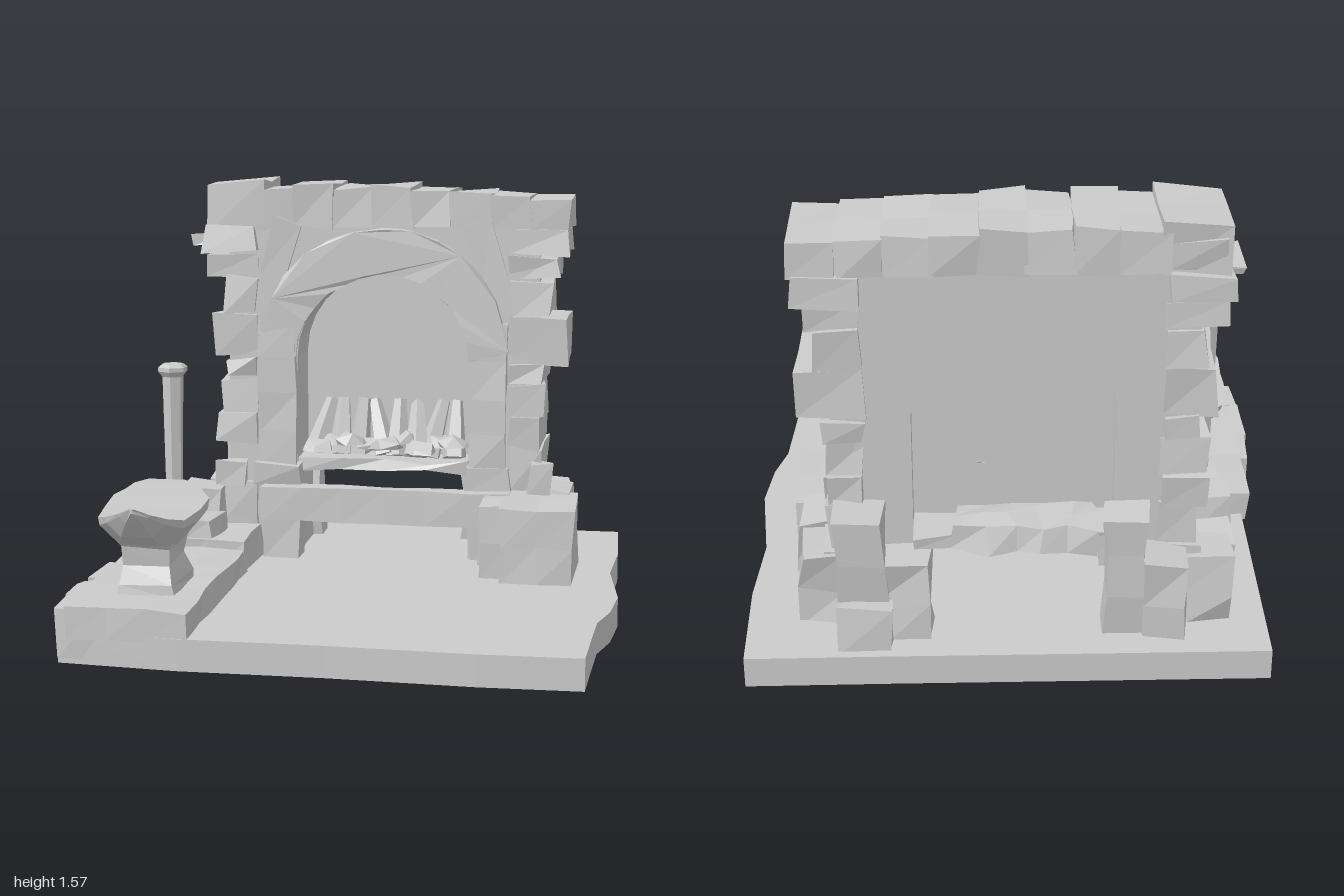
import * as THREE from 'three';

const mat = new THREE.MeshStandardMaterial({ color: 0xcccccc, flatShading: true, side: THREE.DoubleSide });

// Repeatable noise in -1..1 from a position, so shared corners move together
function noise(x, y, z, k) {
  const s = Math.sin(Math.round(x * 500) * 12.99 + Math.round(y * 500) * 78.23 + Math.round(z * 500) * 37.72 + k * 51.3) * 43758.5453;
  return (s - Math.floor(s)) * 2 - 1;
}

function roughen(geo, amount) {
  const p = geo.attributes.position;
  for (let i = 0; i < p.count; i++) {
    const [x, y, z] = [p.getX(i), p.getY(i), p.getZ(i)];
    p.setXYZ(i, x + noise(x, y, z, 1) * amount, Math.max(0, y + noise(x, y, z, 2) * amount), z + noise(x, y, z, 3) * amount);
  }
  geo.computeVertexNormals();
  return geo;
}

export function createModel() {
  const root = new THREE.Group();
  const add = (name, geo, parent = root) => {
    const m = new THREE.Mesh(geo, mat);
    m.name = name;
    parent.add(m);
    return m;
  };
  const group = (name) => {
    const g = new THREE.Group();
    g.name = name;
    root.add(g);
    return g;
  };
  // Rough-hewn block given by its extents
  const rock = (name, [x0, x1], [y0, y1], [z0, z1], rough = 0.012, parent = root, step = 0.16) => {
    const n = (a, b) => Math.max(1, Math.round((b - a) / step));
    const geo = new THREE.BoxGeometry(x1 - x0, y1 - y0, z1 - z0, n(x0, x1), n(y0, y1), n(z0, z1));
    geo.translate((x0 + x1) / 2, (y0 + y1) / 2, (z0 + z1) / 2);
    return add(name, roughen(geo, rough), parent);
  };

  // Ground slab: flat faces, ragged outline
  const outline = [[-0.86, -0.98], [0.4, -0.985], [0.9, -0.99], [0.91, -0.6], [0.89, -0.3], [0.93, 0.05], [0.91, 0.25],
    [0.87, 0.4], [0.86, 0.6], [0.85, 0.82], [0.5, 0.83], [0, 0.815], [-0.5, 0.82], [-0.92, 0.79], [-0.9, 0.4], [-0.87, 0]];
  const slab = new THREE.ExtrudeGeometry(new THREE.Shape(outline.map(([x, z]) => new THREE.Vector2(x, -z))),
    { depth: 0.11, bevelEnabled: false });
  slab.rotateX(-Math.PI / 2);
  add('groundSlab', slab);

  // Raised terrace on the model's right, with edge stones
  const terrace = group('terrace');
  rock('terraceStep', [-0.89, -0.47], [0.09, 0.2], [-0.1, 0.81], 0.008, terrace);
  rock('terraceBack', [-0.76, -0.47], [0.09, 0.23], [-0.4, -0.08], 0.01, terrace);
  [[-0.93, 0.62, 0.8], [-0.95, 0.38, 0.62], [-0.93, 0.18, 0.38], [-0.89, 0.0, 0.17]].forEach(([x, z0, z1]) =>
    rock('terraceEdgeStone', [x, x + 0.15], [0.02, 0.19], [z0, z1], 0.012, terrace));
  rock('terraceStone', [-0.77, -0.6], [0.2, 0.3], [-0.32, -0.1], 0.015, terrace);
  rock('terraceStone', [-0.77, -0.62], [0.2, 0.38], [-0.45, -0.3], 0.015, terrace);

  // Hearth bench: beam on short legs and a corner block
  const bench = group('hearthBench');
  rock('benchBeam', [-0.46, 0.5], [0.26, 0.39], [-0.41, -0.33], 0.004, bench);
  rock('benchLeg', [-0.46, -0.31], [0.1, 0.28], [-0.45, -0.335], 0.008, bench);
  rock('benchLeg', [0.38, 0.5], [0.1, 0.28], [-0.45, -0.335], 0.008, bench);
  rock('cornerBlock', [0.49, 0.76], [0.1, 0.39], [-0.45, -0.08], 0.006, bench);
  rock('cornerStep', [0.41, 0.51], [0.1, 0.385], [-0.4, -0.14], 0.006, bench);

  // Arched opening outline, from spring to spring
  const arch = (rx, ry, spring, n = 14) => Array.from({ length: n + 1 }, (_, i) => {
    const a = Math.PI * i / n;
    return [rx * Math.cos(a), spring + ry * Math.sin(a)];
  });
  const vec = (pts) => pts.map(([x, y]) => new THREE.Vector2(x, y));
  const extrude = (pts, depth, z) => new THREE.ExtrudeGeometry(new THREE.Shape(vec(pts)),
    { depth, bevelEnabled: false }).translate(0, 0, z);

  // Chimney wall with the open arch cut through
  const wall = group('chimneyWall');
  const opening = arch(0.335, 0.32, 0.89);
  const core = [[0.335, 0.1], ...opening, [-0.335, 0.1], [-0.61, 0.1], [-0.6, 1.45], [-0.3, 1.51], [0.1, 1.5], [0.6, 1.46], [0.6, 0.1]];
  add('wallCore', extrude(core, 0.31, -0.745), wall);
  add('archRing', roughen(extrude([[0.335, 0.89], ...opening, ...arch(0.48, 0.47, 0.92).reverse()], 0.07, -0.47), 0.008), wall);
  add('fireback', extrude([[0.335, 0.47], ...opening, [-0.335, 0.47]], 0.03, -0.68), wall);

  // Pilasters beside the opening
  [-1, 1].forEach((s) => {
    const x = s < 0 ? [-0.48, -0.34] : [0.345, 0.48];
    rock('pilaster', x, [0.46, 1.03], [-0.5, -0.4], 0.007, wall);
    rock('pilasterFoot', [x[0] - 0.02, x[1] + 0.02], [0.38, 0.47], [-0.5, -0.385], 0.012, wall);
    rock('pilasterBase', x, [0.1, 0.4], [-0.5, -0.41], 0.008, wall);
  });

  // Stacked side stones: [bottom, top, reach on -x side, reach on +x side]
  [[0.1, 0.39, 0.63, 0.64], [0.39, 0.55, 0.61, 0.62], [0.55, 0.67, 0.65, 0.61], [0.67, 0.8, 0.64, 0.62],
    [0.8, 0.88, 0.61, 0.62], [0.88, 1.06, 0.66, 0.71], [1.06, 1.2, 0.62, 0.65], [1.2, 1.29, 0.69, 0.67],
    [1.29, 1.39, 0.7, 0.71], [1.39, 1.5, 0.67, 0.69]].forEach(([y0, y1, l, r], i) => {
    const front = i === 8 ? -0.405 : -0.415 - (i % 2) * 0.015;
    const back = i === 8 ? -0.785 : -0.765 + (i % 2) * 0.012;
    rock('sideStone', [-l, -0.49], [y0 + 0.003, y1 - 0.003], [back, front], 0.012, wall);
    rock('sideStone', [0.49, r], [y0 + 0.003, y1 - 0.003], [back, front], 0.012, wall);
  });
  rock('shelfStone', [-0.75, -0.6], [1.32, 1.355], [-0.62, -0.43], 0.008, wall);
  rock('topStone', [-0.69, -0.46], [1.38, 1.56], [-0.76, -0.43], 0.014, wall);

  // Mantel: a row of cap stones sloping down to one side
  const tops = [1.535, 1.55, 1.54, 1.55, 1.535, 1.525, 1.515, 1.51];
  tops.forEach((top, i) => {
    const x = -0.49 + i * 0.15;
    rock('capStone', [x, x + 0.152], [1.39, top], [-0.77, -0.42], 0.009, wall);
  });
  // Shoulder stones bending from the mantel toward the arch
  [-1, 1].forEach((s) => {
    const stone = rock('shoulderStone', [-0.055, 0.055], [-0.01, 0.22], [-0.5, -0.405], 0.01, wall);
    stone.position.set(s * 0.43, 1.2, 0);
    stone.rotation.z = s * 0.3;
  });

  // Fire bed: floating grate with coals and split logs
  const fire = group('fire');
  rock('grate', [-0.34, 0.34], [0.445, 0.485], [-0.84, -0.44], 0.012, fire);
  for (let i = 0; i < 9; i++) {
    const coal = add('coal', roughen(new THREE.IcosahedronGeometry(0.07, 0), 0.012), fire);
    coal.position.set(-0.27 + i * 0.068, 0.51 + (i % 3) * 0.015, -0.5 - (i % 2) * 0.07);
    coal.scale.y = 0.75;
    coal.rotation.y = i;
  }
  for (let i = 0; i < 8; i++) {
    const log = add('log', new THREE.CylinderGeometry(0.025, 0.05, 0.23, 5), fire);
    log.position.set(-0.26 + i * 0.075, 0.59, -0.6);
    log.rotation.set(-0.35, i, ((i % 3) - 1) * 0.25);
  }
  rock('backCoals', [-0.28, 0.2], [0.44, 0.53], [-0.87, -0.7], 0.02, fire, 0.1);

  // Boulders behind the wall and at its foot
  const boulders = group('boulders');
  [[-0.58, -0.43, 0.4, -0.9, -0.75], [-0.44, -0.3, 0.57, -0.88, -0.75], [0.28, 0.46, 0.4, -0.88, -0.75],
    [0.43, 0.59, 0.57, -0.9, -0.75], [0.4, 0.58, 0.26, -0.95, -0.8], [-0.74, -0.58, 0.36, -0.8, -0.62],
    [-0.76, -0.6, 0.3, -0.62, -0.42], [0.58, 0.72, 0.37, -0.78, -0.6], [0.58, 0.74, 0.4, -0.6, -0.4]].forEach(([x0, x1, y1, z0, z1]) =>
    rock('boulder', [x0, x1], [0.09, y1], [z0, z1], 0.018, boulders));
  rock('footStone', [0.57, 0.66], [0.38, 0.5], [-0.46, -0.37], 0.015, boulders);
  rock('footStone', [-0.64, -0.53], [0.38, 0.48], [-0.46, -0.38], 0.015, boulders);

  // Post with a faceted cap
  const post = group('post');
  add('postShaft', new THREE.CylinderGeometry(0.04, 0.028, 0.69, 6).translate(0, 0.54, 0), post);
  add('postCap', new THREE.LatheGeometry(vec([[0, 0.86], [0.04, 0.865], [0.056, 0.885], [0.056, 0.9], [0.04, 0.912], [0, 0.912]]), 6), post);
  post.position.set(-0.72, 0, -0.01);

  // Anvil: hull lofted along z from [z, left x, right x, top y, bottom y]
  const anvil = group('anvil');
  const ribs = [[0.01, -0.74, -0.7, 0.48, 0.44], [0.06, -0.8, -0.66, 0.49, 0.435], [0.16, -0.825, -0.585, 0.495, 0.42],
    [0.3, -0.82, -0.53, 0.5, 0.385], [0.42, -0.825, -0.48, 0.505, 0.375], [0.6, -0.8, -0.465, 0.505, 0.38],
    [0.8, -0.765, -0.47, 0.51, 0.42], [0.9, -0.71, -0.5, 0.535, 0.47], [0.96, -0.65, -0.54, 0.56, 0.53], [0.995, -0.6, -0.585, 0.585, 0.57]];
  const pos = [], idx = [];
  ribs.forEach(([z, l, r, t, b]) => {
    const m = (l + r) / 2, h = (r - l) * 0.25, e = t - (t - b) * 0.3;
    pos.push(l, t, z, l + 0.005, e, z, m - h, b, z, m + h, b, z, r - 0.005, e, z, r, t, z);
  });
  for (let i = 0; i < ribs.length - 1; i++) {
    for (let j = 0; j < 6; j++) {
      const a = i * 6 + j, b = i * 6 + (j + 1) % 6;
      idx.push(a, b, a + 6, b, b + 6, a + 6);
    }
  }
  const end = pos.length / 3 - 6;
  for (let j = 1; j < 5; j++) idx.push(0, j + 1, j, end, end + j, end + j + 1);
  const hull = new THREE.BufferGeometry();
  hull.setAttribute('position', new THREE.Float32BufferAttribute(pos, 3));
  hull.setIndex(idx);
  hull.computeVertexNormals();
  add('anvilTop', hull, anvil);

  // Waisted four-sided pedestal
  const pedestal = new THREE.LatheGeometry(vec([[0, 0.19], [0.18, 0.19], [0.17, 0.23], [0.14, 0.3], [0.15, 0.36], [0.2, 0.41], [0, 0.41]]), 4);
  pedestal.rotateY(Math.PI / 4).scale(0.8, 1, 1.12).translate(-0.66, 0, 0.48);
  add('anvilPedestal', roughen(pedestal, 0.006), anvil);

  return root;
}
